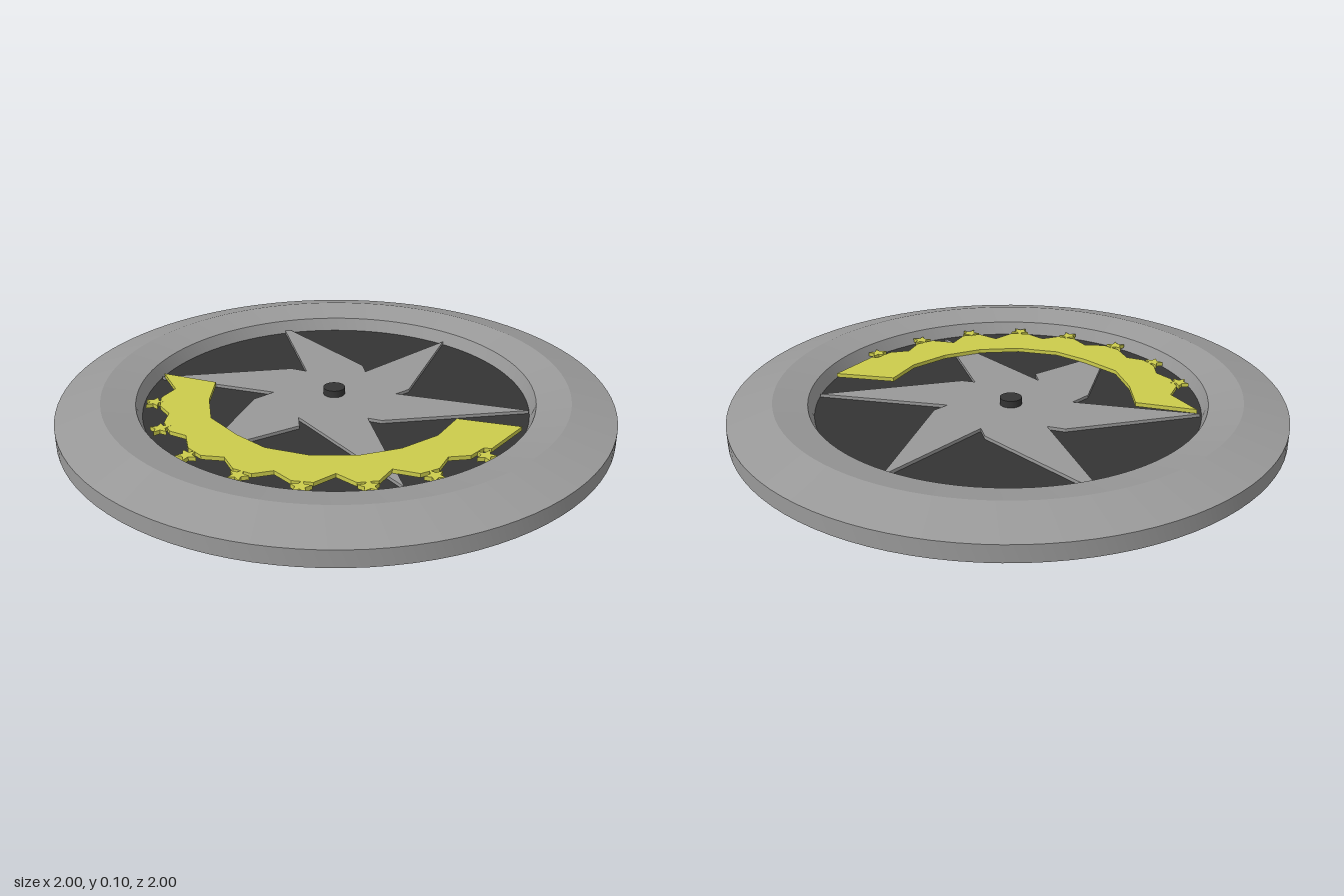
import * as THREE from 'three';
import { toCreasedNormals } from 'three/addons/utils/BufferGeometryUtils.js';

const material = (name, color) => {
  const m = new THREE.MeshStandardMaterial({ color });
  m.name = name;
  return m;
};

// Extrudes an outline given as [x, z] points upwards from height y
function plate(points, y, height) {
  const shape = new THREE.Shape(points.map(([x, z]) => new THREE.Vector2(x, -z)));
  const geometry = new THREE.ExtrudeGeometry(shape, { depth: height, bevelEnabled: false });
  geometry.rotateX(-Math.PI / 2);
  geometry.translate(0, y, 0);
  return geometry;
}

export function createModel() {
  const group = new THREE.Group();
  const grey = material('steelGrey', 0x999999);
  const dark = material('charcoal', 0x343434);
  const yellow = material('yellow', 0xcccc4c);

  const add = (name, geometry, mat, parent = group) => {
    const mesh = new THREE.Mesh(geometry, mat);
    mesh.name = name;
    parent.add(mesh);
    return mesh;
  };

  // Outer ring: rim, outer slope, inner slope and steep inner wall
  const profile = [[0.72, 0], [1, 0], [1, 0.06], [0.84, 0.105], [0.72, 0.078], [0.7, 0.03]]
    .map(([r, y]) => new THREE.Vector2(r, y));
  add('outerRing', toCreasedNormals(new THREE.LatheGeometry(profile, 96), 0.25), grey);

  // Recessed floor
  const floor = add('floorDisc', new THREE.CylinderGeometry(0.7, 0.72, 0.03, 96), dark);
  floor.position.y = 0.015;

  // Swept six-pointed blade wheel
  const blades = [
    [-0.11, -0.69], [-0.085, -0.69], [0.15, -0.275], [0.15, -0.215],
    [0.525, -0.465], [0.28, -0.03], [0.225, 0],
    [0.665, 0.21], [0.13, 0.205], [0.085, 0.18],
    [0.11, 0.66], [-0.155, 0.135], [-0.16, 0.2],
    [-0.5, 0.335], [-0.295, -0.04], [-0.22, -0.085],
    [-0.63, -0.29], [-0.13, -0.29], [-0.075, -0.255],
  ];
  add('bladeWheel', plate(blades, 0.03, 0.012), grey);

  // Hub pin
  const hub = add('hubPin', new THREE.CylinderGeometry(0.04, 0.04, 0.038, 32), dark);
  hub.position.set(0, 0.049, -0.042);

  // Yellow crescent: inner edge, far tip, then scalloped outer edge
  const crescent = new THREE.Group();
  crescent.name = 'crescent';
  group.add(crescent);
  const inner = [
    [-0.62, -0.285], [-0.43, -0.175], [-0.46, -0.03], [-0.46, 0.12], [-0.38, 0.26],
    [-0.295, 0.365], [-0.155, 0.44], [0, 0.465], [0.15, 0.44], [0.29, 0.37],
    [0.385, 0.26], [0.59, 0.355],
  ];
  const stars = [
    [0.41, 0.53], [0.215, 0.63], [0, 0.66], [-0.21, 0.63],
    [-0.395, 0.53], [-0.55, 0.375], [-0.635, 0.17], [-0.655, -0.04],
  ];
  const notches = [
    [0.285, 0.522], [0.09, 0.57], [-0.09, 0.57], [-0.28, 0.522],
    [-0.43, 0.41], [-0.55, 0.24], [-0.605, 0.062], [-0.58, -0.14],
  ];
  const outer = [[0.44, 0.49]];
  stars.forEach(([x, z], i) => {
    const r = Math.hypot(x, z);
    const [ux, uz] = [x / r, z / r];
    for (const side of [1, -1]) {
      outer.push([ux * 0.635 + uz * 0.035 * side, uz * 0.635 - ux * 0.035 * side]);
    }
    outer.push(notches[i]);
  });
  add('crescentBody', plate([...inner, ...outer], 0.042, 0.015), yellow, crescent);

  // Small five-pointed stars along the outer edge
  for (const [x, z] of stars) {
    const heading = Math.atan2(z, x);
    const points = Array.from({ length: 10 }, (_, k) => {
      const a = heading + (k + 1) * Math.PI / 5;
      const r = k % 2 ? 0.037 : 0.017;
      return [x + r * Math.cos(a + Math.PI / 5), z + r * Math.sin(a + Math.PI / 5)];
    });
    add('edgeStar', plate(points, 0.0425, 0.015), yellow, crescent);
  }
  return group;
}
